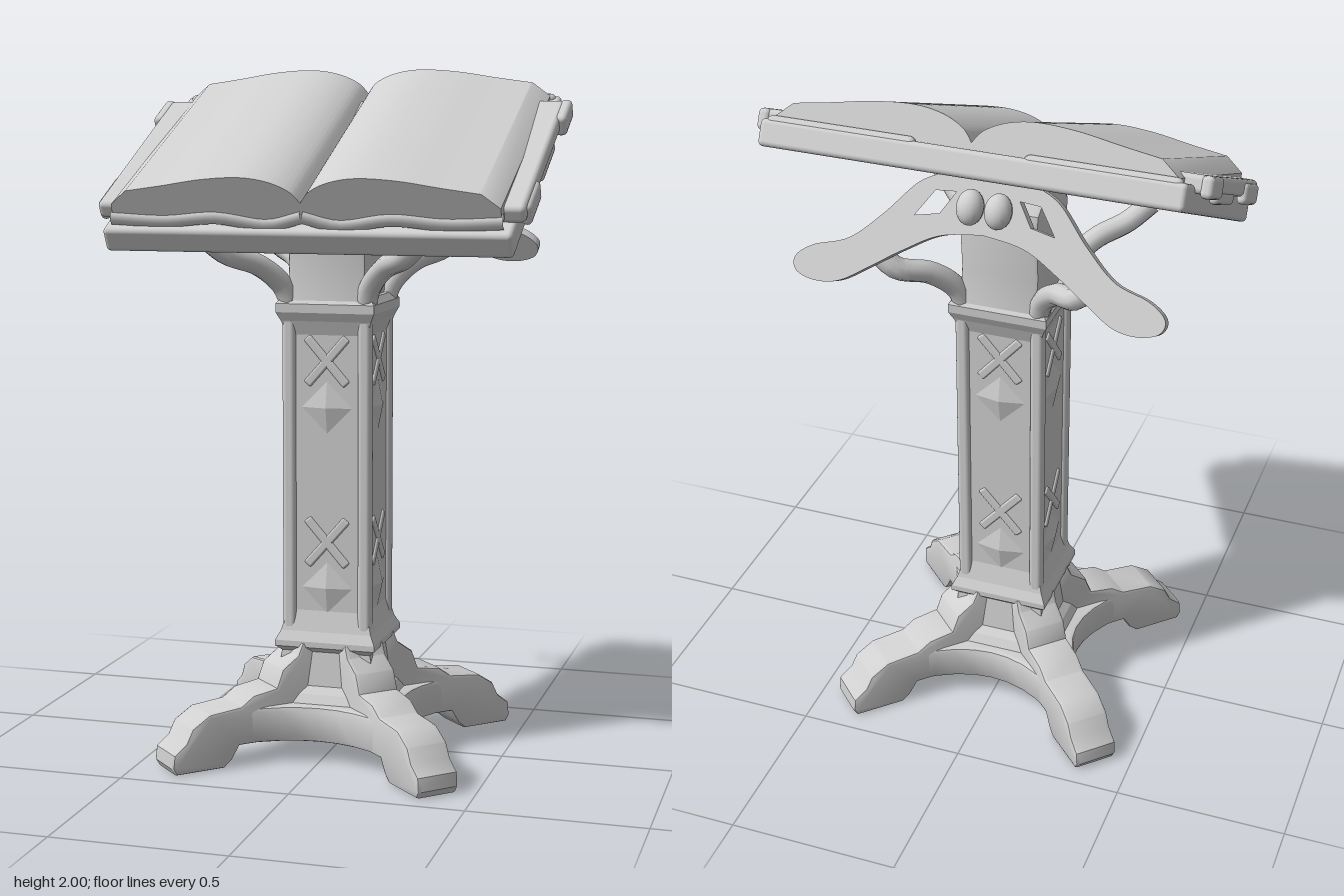
import * as THREE from 'three';
import { toCreasedNormals } from 'three/addons/utils/BufferGeometryUtils.js';
import { RoundedBoxGeometry } from 'three/addons/geometries/RoundedBoxGeometry.js';

const stone = new THREE.MeshStandardMaterial({ color: 0xd0d0d0 });
stone.name = 'paleStone';

const v2 = (pts) => pts.map(([x, y]) => new THREE.Vector2(x, y));

function add(parent, name, geometry, x = 0, y = 0, z = 0) {
  const mesh = new THREE.Mesh(geometry, stone);
  mesh.name = name;
  mesh.position.set(x, y, z);
  parent.add(mesh);
  return mesh;
}

// Square moulding from a list of [half width, height]
function squareLathe(pts) {
  const g = new THREE.LatheGeometry(v2(pts.map(([r, y]) => [r * Math.SQRT2, y])), 4, Math.PI / 4).toNonIndexed();
  g.computeVertexNormals();
  return g;
}

// Extrusion centred on its own depth, smooth along soft curves
function slab(shape, depth, bevel = 0) {
  const g = new THREE.ExtrudeGeometry(shape, {
    depth: depth - 2 * bevel, bevelEnabled: bevel > 0, bevelSize: bevel, bevelThickness: bevel,
    bevelOffset: -bevel, bevelSegments: 2, curveSegments: 10,
  });
  g.translate(0, 0, bevel - depth / 2);
  return toCreasedNormals(g, 0.6);
}

function createBase(group) {
  // Star-shaped web with four concave sides
  const star = new THREE.Shape();
  const a = 0.27, b = 0.35;
  star.moveTo(a, b);
  star.quadraticCurveTo(0, 0.07, -a, b);
  star.lineTo(-b, a);
  star.quadraticCurveTo(-0.07, 0, -b, -a);
  star.lineTo(-a, -b);
  star.quadraticCurveTo(0, -0.07, a, -b);
  star.lineTo(b, -a);
  star.quadraticCurveTo(0.07, 0, b, a);
  star.closePath();
  const web = add(group, 'baseWeb', slab(star, 0.105, 0.012), 0, 0.1125, 0);
  web.rotation.x = -Math.PI / 2;
  add(group, 'plinth', squareLathe([[0, 0.15], [0.19, 0.15], [0.165, 0.19], [0.145, 0.21],
    [0.134, 0.31], [0.15, 0.325], [0.15, 0.342], [0.136, 0.37], [0.12, 0.43], [0, 0.43]]));

  // Diagonal feet with stepped shoulders
  const foot = new THREE.Shape(v2([[0, 0.06], [0.36, 0.06], [0.385, 0.02], [0.41, 0], [0.56, 0], [0.572, 0.02],
    [0.568, 0.06], [0.53, 0.09], [0.51, 0.13], [0.455, 0.165], [0.355, 0.175], [0.315, 0.203], [0.24, 0.215],
    [0.22, 0.268], [0.17, 0.303], [0.155, 0.338], [0, 0.338]]));
  const footGeometry = slab(foot, 0.132, 0.01);
  for (let i = 0; i < 4; i++) add(group, 'foot', footGeometry).rotation.y = Math.PI / 4 + i * Math.PI / 2;
}

function createColumn(group) {
  add(group, 'columnCore', squareLathe([[0.12, 0.34], [0.12, 1.32]]));
  const post = new RoundedBoxGeometry(0.04, 0.96, 0.04, 3, 0.014);
  for (const x of [-1, 1]) for (const z of [-1, 1]) add(group, 'cornerPost', post, x * 0.113, 0.82, z * 0.113);
  add(group, 'columnCap', squareLathe([[0, 1.24], [0.12, 1.24], [0.134, 1.28], [0.146, 1.305], [0.146, 1.33],
    [0.13, 1.35], [0, 1.35]]));

  // Low relief on each face: a cross above a diamond, at either end
  const gem = new THREE.ConeGeometry(0.08, 0.016, 4).toNonIndexed();
  gem.rotateX(Math.PI / 2);
  gem.computeVertexNormals();
  const bar = new RoundedBoxGeometry(0.026, 0.18, 0.014, 2, 0.006);
  for (let i = 0; i < 4; i++) {
    const face = new THREE.Group();
    face.name = 'reliefPanel';
    face.rotation.y = i * Math.PI / 2;
    for (const y of [0.5, 1.03]) {
      add(face, 'diamond', gem, 0, y, 0.127);
      for (const t of [-1, 1]) add(face, 'crossBar', bar, 0, y + 0.135, 0.119).rotation.z = t * 0.72;
    }
    group.add(face);
  }

  // Neck under the desk
  const neck = new THREE.Shape(v2([[-0.14, 1.34], [-0.122, 1.44], [-0.138, 1.58], [-0.11, 1.625], [-0.02, 1.68],
    [0.08, 1.66], [0.12, 1.635], [0.132, 1.59], [0.12, 1.44], [0.138, 1.34]]));
  add(group, 'neck', slab(neck, 0.23, 0.012)).rotation.y = Math.PI / 2;

  // Curved corner brackets
  for (const x of [-1, 1]) for (const z of [-1, 1]) {
    const path = new THREE.CatmullRomCurve3([[0.106, 1.31, 0.106], [0.13, 1.38, 0.126], [0.185, 1.44, 0.175],
      [0.26, 1.475, 0.24], [0.32, 1.53, z > 0 ? 0.275 : 0.245]]
      .map(([px, py, pz]) => new THREE.Vector3(x * px, py, z * pz)));
    add(group, 'bracket', new THREE.TubeGeometry(path, 18, 0.032, 10));
  }
}

function createDesk(group) {
  const desk = new THREE.Group();
  desk.name = 'slopingDesk';
  desk.position.set(0, 1.67, -0.01);
  desk.rotation.x = 0.45;
  group.add(desk);

  const board = add(desk, 'board', new RoundedBoxGeometry(1.17, 0.074, 0.82, 3, 0.014), 0, 0.03, -0.013);
  board.rotation.x = 0.03;
  add(desk, 'bookCover', new RoundedBoxGeometry(1.225, 0.05, 0.67, 3, 0.015), 0, 0.08, 0);

  // Open pages, bulging on each side of the spine, thicker towards the front
  const right = v2([[0, 0.1], [0.03, 0.135], [0.09, 0.163], [0.17, 0.175], [0.28, 0.168], [0.4, 0.148], [0.505, 0.132]]);
  const left = right.slice(1).map((p) => new THREE.Vector2(-p.x, p.y));
  const pages = new THREE.Shape();
  pages.moveTo(-0.555, 0.045);
  pages.lineTo(0.555, 0.045);
  pages.lineTo(0.555, 0.09);
  pages.lineTo(0.505, 0.132);
  pages.splineThru(right.slice(0, -1).reverse());
  pages.splineThru(left);
  pages.lineTo(-0.555, 0.09);
  pages.closePath();
  add(desk, 'pages', slab(pages, 0.765), 0, 0.013, -0.011).rotation.x = -0.04;

  for (const s of [-1, 1]) {
    // Rods on the back ledge and rolled edge on the front lip
    const rod = add(desk, 'ledgeRod', new THREE.CapsuleGeometry(0.016, 0.39, 4, 10), s * 0.36, 0.074, -0.402);
    rod.rotation.z = Math.PI / 2;
    const lip = new THREE.CatmullRomCurve3([[0, 0.085], [0.1, 0.06], [0.25, 0.08], [0.4, 0.068], [0.56, 0.075]]
      .map(([x, y]) => new THREE.Vector3(s * x, y, 0.36)));
    add(desk, 'frontLip', new THREE.TubeGeometry(lip, 20, 0.022, 8));
    // Clasps on the side edges
    add(desk, 'upperClasp', new RoundedBoxGeometry(0.035, 0.06, 0.13, 2, 0.014), s * 0.615, 0.075, -0.275);
    add(desk, 'lowerClasp', new RoundedBoxGeometry(0.03, 0.06, 0.16, 2, 0.014), s * 0.608, 0.065, 0.23);
    add(desk, 'middleClasp', new RoundedBoxGeometry(0.03, 0.04, 0.2, 2, 0.014), s * 0.595, 0.05, -0.05);
  }

  // Winged support below the back, with two drooping lobes
  for (const s of [-1, 1]) {
    const wing = new THREE.Shape();
    wing.moveTo(0, 0.01);
    wing.lineTo(s * 0.12, 0.01);
    wing.splineThru(v2([[0.2, -0.03], [0.29, -0.13], [0.38, -0.21], [0.48, -0.245], [0.53, -0.285], [0.52, -0.325],
      [0.46, -0.342], [0.39, -0.33], [0.31, -0.28], [0.22, -0.22], [0.12, -0.165], [0, -0.145]].map(([x, y]) => [s * x, y])));
    wing.closePath();
    wing.holes.push(new THREE.Path(v2([[0.09, -0.04], [0.15, -0.045], [0.2, -0.12], [0.13, -0.105]]
      .map(([x, y]) => [s * x, y]))));
    add(desk, 'supportWing', slab(wing, 0.034), 0, 0, -0.18);
    const knob = add(desk, 'supportKnob', new THREE.SphereGeometry(0.038, 16, 12), s * 0.04, -0.075, -0.215);
    knob.scale.set(1, 1.3, 1);
  }
}

export function createModel() {
  const model = new THREE.Group();
  model.name = 'lectern';
  createBase(model);
  createColumn(model);
  createDesk(model);
  return model;
}
